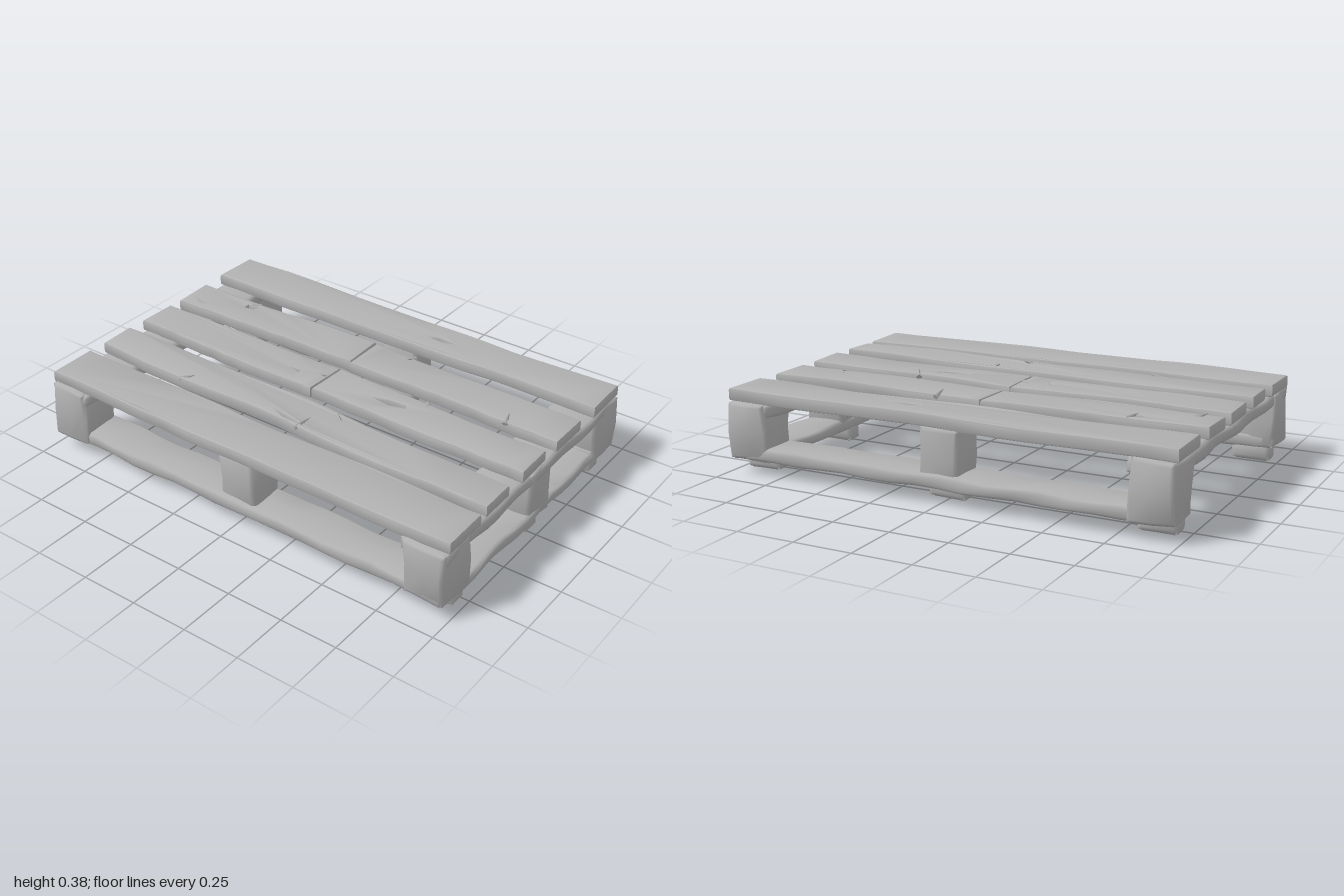
import * as THREE from 'three';
import { mergeVertices, toCreasedNormals } from 'three/addons/utils/BufferGeometryUtils.js';

const wood = new THREE.MeshStandardMaterial({ color: 0xb0b0b0 });
wood.name = 'weathered grey wood';

// small seeded random
let seed = 7;
const rand = () => (seed = (seed * 16807) % 2147483647) / 2147483647;
const jitter = (a) => (rand() - 0.5) * 2 * a;

function smooth(geo, angle) {
  geo.deleteAttribute('uv');
  geo.deleteAttribute('normal');
  return toCreasedNormals(mergeVertices(geo, 1e-5), angle);
}

// rough-hewn timber with worn edges, given by its min and max corners
function timber(name, x0, x1, y0, y1, z0, z1, wobble = 0.006, r = 0.016) {
  const half = [(x1 - x0) / 2, (y1 - y0) / 2, (z1 - z0) / 2];
  const segs = half.map((h) => (h > 0.3 ? 18 : 4));
  const geo = new THREE.BoxGeometry(2, 2, 2, ...segs);
  geo.deleteAttribute('uv');
  geo.deleteAttribute('normal');
  const merged = mergeVertices(geo, 1e-4);
  const p = merged.attributes.position;
  const ph = [jitter(3), jitter(3), jitter(3)];
  for (let i = 0; i < p.count; i++) {
    const u = [p.getX(i), p.getY(i), p.getZ(i)];
    const onFace = u.map((v) => Math.abs(v) > 0.999);
    const edge = onFace.filter(Boolean).length > 1;
    const q = u.map((v, k) => {
      const a = Math.abs(v), h = half[k];
      const rr = Math.min(r, h * 0.5);
      if (onFace[k]) return Math.sign(v) * (h - (edge ? rr * 0.35 : 0));
      if (a > 1 - 2 / segs[k] - 0.001) return Math.sign(v) * (h - rr);
      return v * h;
    });
    const wave = (k) => wobble * Math.sin(q[(k + 1) % 3] * 13 + q[(k + 2) % 3] * 17 + ph[k] + u[k]);
    p.setXYZ(i, q[0] + wave(0), q[1] + wave(1) * 0.7, q[2] + wave(2));
  }
  const mesh = new THREE.Mesh(toCreasedNormals(merged, 0.9), wood);
  mesh.position.set((x0 + x1) / 2, (y0 + y1) / 2, (z0 + z1) / 2);
  mesh.name = name;
  return mesh;
}

// deck plank: outline from back and front edge depths, with split holes cut through
function plank(name, x0, x1, back, front, holes = []) {
  const n = 16;
  const side = (zs) => {
    const pts = [];
    for (let i = 0; i <= n; i++) {
      const t = (i / n) * (zs.length - 1);
      const k = Math.min(Math.floor(t), zs.length - 2);
      const z = THREE.MathUtils.lerp(zs[k], zs[k + 1], t - k) + jitter(0.003);
      const end = i === 0 || i === n ? jitter(0.004) : 0;
      pts.push(new THREE.Vector2(x0 + ((x1 - x0) * i) / n + end, -z));
    }
    return pts;
  };
  const shape = new THREE.Shape([...side(front), ...side(back).reverse()]);
  for (const h of holes) shape.holes.push(new THREE.Path(h.map(([x, z]) => new THREE.Vector2(x, -z))));
  const b = 0.01;
  const geo = new THREE.ExtrudeGeometry(shape, {
    depth: 0.055 - 2 * b, bevelEnabled: true, bevelThickness: b, bevelSize: b, bevelOffset: -b, bevelSegments: 2,
  });
  geo.rotateX(-Math.PI / 2);
  geo.translate(0, 0.309 + b, 0);
  const p = geo.attributes.position;
  for (let i = 0; i < p.count; i++) {
    const x = p.getX(i), z = p.getZ(i);
    p.setY(i, p.getY(i) + 0.003 * Math.sin(x * 7 + z * 9));
  }
  const mesh = new THREE.Mesh(smooth(geo, 0.6), wood);
  mesh.name = name;
  return mesh;
}

export function createModel() {
  const model = new THREE.Group();
  model.name = 'pallet';

  // deck planks, back to front; the second and third are split in the middle
  model.add(
    plank('backPlank', -0.995, 0.985, [-0.66, -0.665, -0.652, -0.65, -0.66], [-0.44, -0.445, -0.44, -0.457, -0.445],
      [[[0.13, -0.535], [0.17, -0.555], [0.27, -0.55], [0.2, -0.535]]]),
    plank('secondPlankLeftHalf', -0.985, -0.031, [-0.33, -0.34, -0.36], [-0.148, -0.15, -0.165],
      [[[-0.7, -0.275], [-0.7, -0.3], [-0.64, -0.305], [-0.66, -0.28]]]),
    plank('secondPlankRightHalf', -0.027, 0.985, [-0.355, -0.335, -0.34], [-0.155, -0.15, -0.142],
      [[[0.7, -0.2], [0.75, -0.185], [0.74, -0.165]]]),
    plank('middlePlankLeftHalf', -0.99, -0.031, [-0.088, -0.08, -0.09], [0.1, 0.11, 0.115],
      [[[-0.2, 0.025], [-0.06, 0.012], [-0.058, -0.045], [-0.045, -0.05], [-0.045, 0.022], [-0.13, 0.037]]]),
    plank('middlePlankRightHalf', -0.027, 0.98, [-0.09, -0.07, -0.065], [0.11, 0.118, 0.12],
      [[[0.22, 0.02], [0.28, 0], [0.36, -0.01], [0.37, 0.008], [0.3, 0.028]]]),
    plank('fourthPlank', -0.985, 0.98, [0.18, 0.187, 0.182, 0.212, 0.222], [0.35, 0.372, 0.362, 0.396, 0.382],
      [[[-0.05, 0.328], [0.04, 0.338], [0.14, 0.352], [0.03, 0.353]]]),
    plank('frontPlank', -0.99, 0.99, [0.43, 0.43, 0.436, 0.425, 0.435], [0.645, 0.655, 0.657, 0.66, 0.65]),
  );

  // end bearers under the deck
  model.add(timber('rightBearer', -0.985, -0.79, 0.25, 0.312, -0.66, 0.66));
  model.add(timber('leftBearer', 0.79, 0.985, 0.25, 0.312, -0.66, 0.66));

  // front and back rows: base rail, three blocks and three feet
  for (const s of [-1, 1]) {
    const row = s > 0 ? 'front' : 'back';
    const span = (a, b) => (s > 0 ? [a, b] : [-b, -a]);
    model.add(timber(row + 'BaseRail', -0.985, 0.985, 0.066, 0.125, ...span(0.48, 0.665), 0.005));
    for (const x of [-0.895, 0, 0.895]) {
      const w = x === 0 ? 0.088 : 0.092;
      const reach = x === 0 ? 0.645 : 0.672;
      model.add(timber(row + 'Block', x - w, x + w, 0.068, 0.312, ...span(0.485, reach)));
      const fx = x * 0.99;
      model.add(timber(row + 'Foot', fx - 0.084, fx + 0.084, 0.005, 0.085, ...span(0.49, 0.578), 0.003, 0.02));
    }
  }

  // the +x end alone has a cross rail with a middle block and foot
  model.add(timber('leftBaseRail', 0.8, 0.985, 0.062, 0.115, -0.66, 0.66, 0.005));
  model.add(timber('leftMiddleBlock', 0.8, 0.985, 0.068, 0.312, -0.12, 0.05));
  model.add(timber('leftMiddleFoot', 0.8, 0.968, 0.005, 0.085, -0.058, 0.035, 0.003, 0.02));

  // raised splinters on the deck: x, z, length
  const splinters = [
    [-0.9, -0.19, 0.07], [-0.67, -0.31, 0.05], [0.17, -0.33, 0.06], [0.43, -0.06, 0.06], [-0.05, 0.0, 0.06],
    [-0.5, 0.35, 0.07], [0.1, 0.34, 0.08], [0.74, -0.17, 0.06], [0.2, 0.23, 0.06],
  ];
  splinters.forEach(([x, z, len], i) => {
    const splinter = new THREE.Mesh(new THREE.ConeGeometry(0.014, len, 4), wood);
    splinter.name = 'splinter';
    splinter.position.set(x, 0.364, z);
    splinter.rotation.set(0, i * 0.7, 1.15);
    model.add(splinter);
  });

  return model;
}
